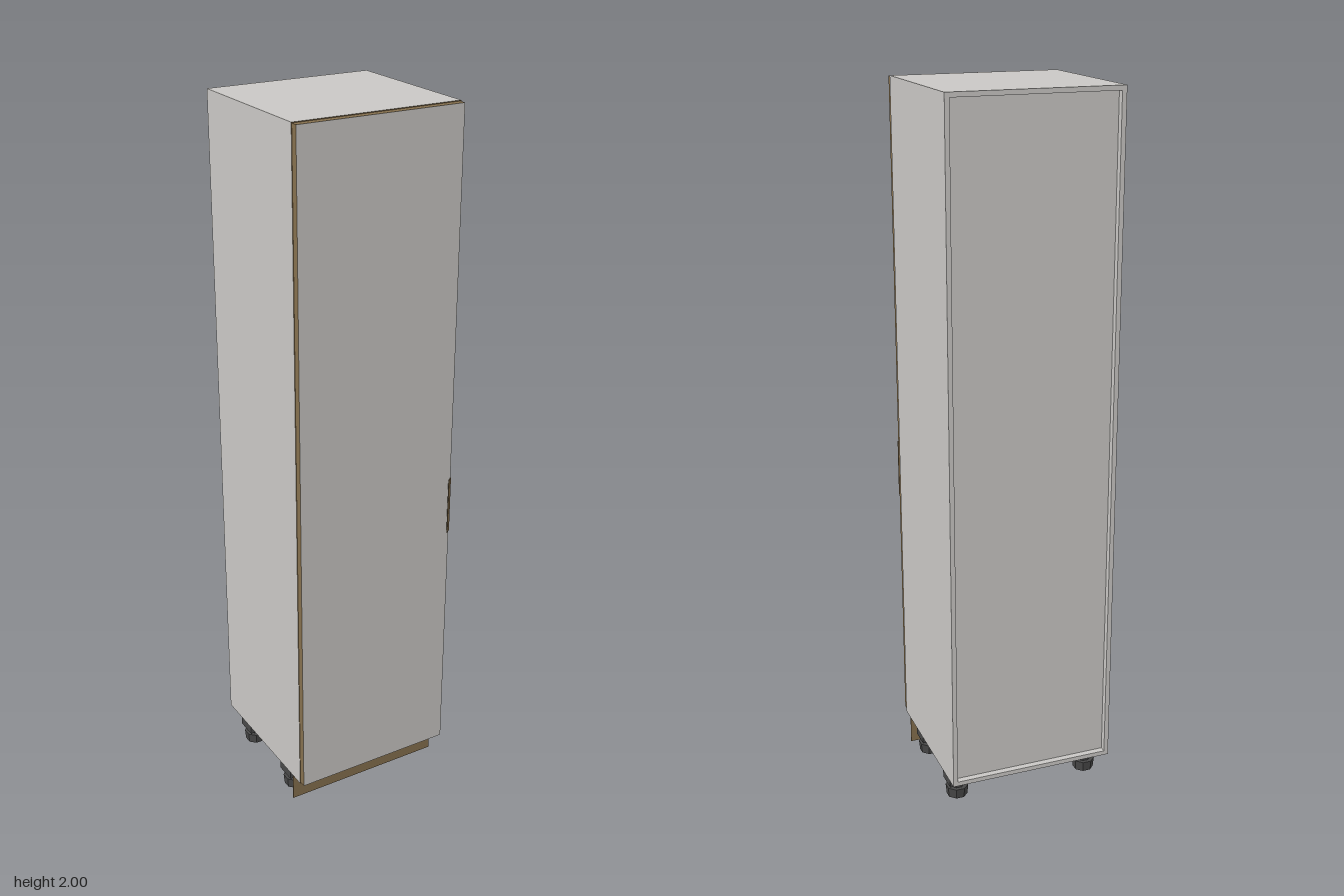
import * as THREE from 'three';

export function createModel() {
  const mat = (name, color) => Object.assign(new THREE.MeshStandardMaterial({ color }), { name });
  const grey = mat('grey laminate', 0xcac8c5);
  const brown = mat('brown edging', 0x86704e);
  const dark = mat('dark plastic', 0x484848);
  dark.flatShading = true;

  const model = new THREE.Group();
  model.name = 'tallCabinet';

  // Box given by its lower and upper limits on each axis
  const box = (name, [x0, x1], [y0, y1], [z0, z1], material, parent = model) => {
    const mesh = new THREE.Mesh(new THREE.BoxGeometry(x1 - x0, y1 - y0, z1 - z0), material);
    mesh.position.set((x0 + x1) / 2, (y0 + y1) / 2, (z0 + z1) / 2);
    mesh.name = name;
    parent.add(mesh);
    return mesh;
  };

  // Carcass panels with brown front edges; face order is +x -x +y -y +z -z
  const W = 0.24, BOTTOM = 0.083, TOP = 2, T = 0.013;
  const depth = [-0.24, 0.206];
  const panel = [grey, grey, grey, grey, brown, grey];
  box('rightSide', [-W, -W + T], [BOTTOM, TOP], depth, panel);
  box('leftSide', [W - T, W], [BOTTOM, TOP], depth, panel);
  box('topPanel', [-W + T, W - T], [TOP - T, TOP], depth, panel);
  box('bottomPanel', [-W + T, W - T], [BOTTOM, BOTTOM + T], depth, panel);
  box('backPanel', [-W + T, W - T], [BOTTOM + T, TOP - T], [-0.222, -0.216], grey);

  // Door with brown edges all round
  box('door', [-0.239, 0.237], [0.088, 1.998], [0.207, 0.227], [brown, brown, brown, brown, grey, grey]);

  // Slanted handle plate on the opening edge
  const handle = box('handle', [-0.01, 0.01], [0.80, 0.965], [-0.001, 0.001], brown);
  handle.position.set(0.2305, 0.8825, 0.2335);
  handle.rotation.y = Math.atan2(0.0125, 0.015);

  // Recessed plinth board
  box('plinth', [-W, W], [0, BOTTOM], [0.162, 0.164], brown);

  // Adjustable feet: square socket, neck and eight-sided foot
  const cylinder = (name, rTop, rBottom, y0, y1, parent) => {
    const mesh = new THREE.Mesh(new THREE.CylinderGeometry(rTop, rBottom, y1 - y0, 8), dark);
    mesh.rotation.y = Math.PI / 8;
    mesh.position.y = (y0 + y1) / 2;
    mesh.name = name;
    parent.add(mesh);
  };
  for (const x of [-0.2, 0.2]) {
    for (const z of [-0.152, 0.1]) {
      const leg = new THREE.Group();
      leg.name = 'leg';
      leg.position.set(x, 0, z);
      box('socket', [-0.031, 0.031], [0.044, BOTTOM], [-0.031, 0.031], dark, leg);
      cylinder('neck', 0.021, 0.021, 0.028, 0.044, leg);
      cylinder('foot', 0.033, 0.03, 0, 0.03, leg);
      model.add(leg);
    }
  }
  return model;
}
